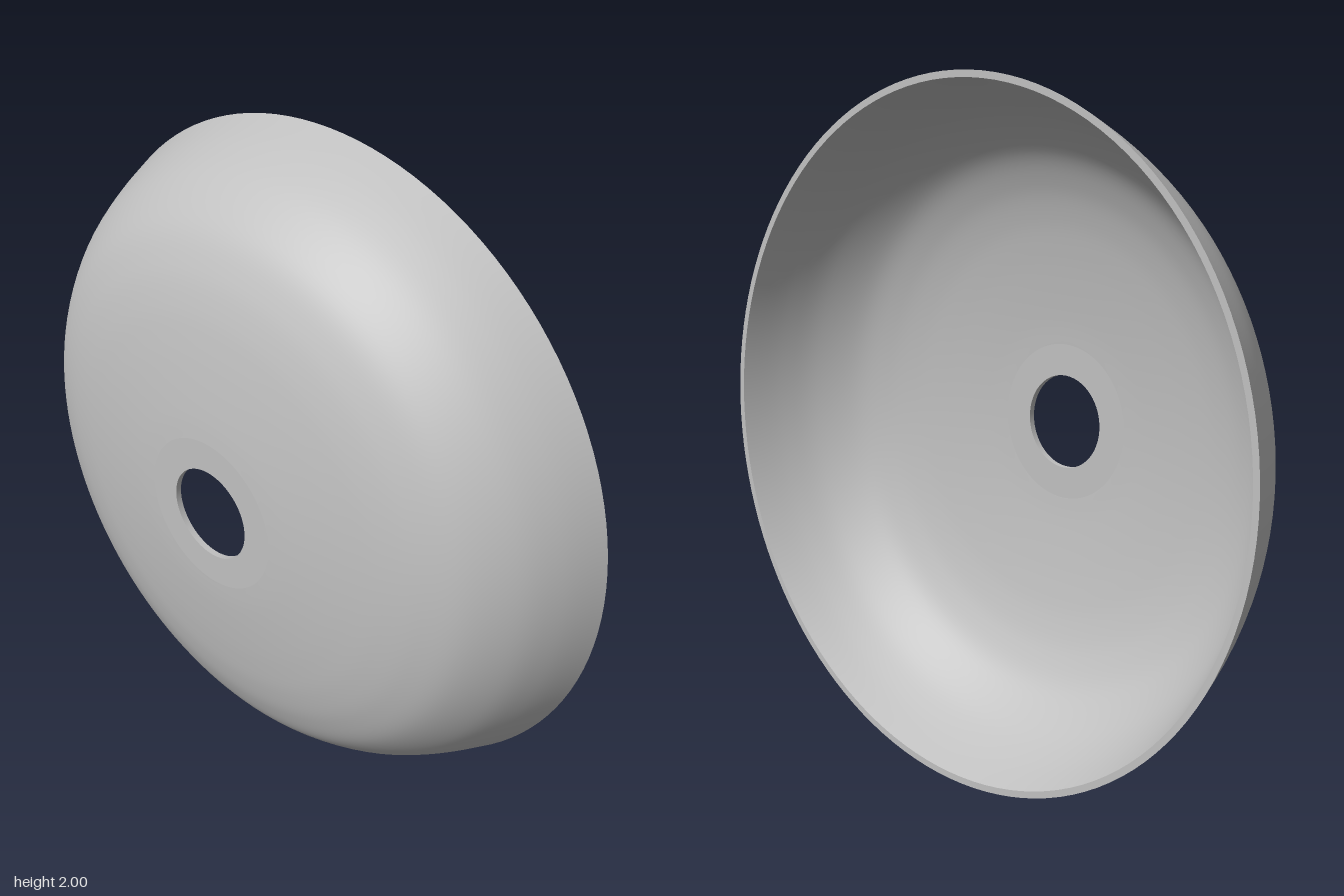
import * as THREE from 'three';

export function createModel() {
  const group = new THREE.Group();
  const grey = new THREE.MeshStandardMaterial({ color: 0xc0c0c0 });
  grey.name = 'plain grey';

  const HOLE = 0.138, FLAT = 0.23, DEPTH = 0.225, WALL = 0.018;
  const V = (r, z) => new THREE.Vector2(r, z);

  // Outer profile (radius, z) from the back rim to the flat centre
  const curve = new THREE.SplineCurve([
    V(1, -DEPTH), V(0.95, -0.105), V(0.89, -0.002), V(0.8, 0.092), V(0.7, 0.145),
    V(0.6, 0.176), V(0.5, 0.195), V(0.4, 0.209), V(0.3, 0.22), V(FLAT, DEPTH),
  ]);
  const outer = curve.getPoints(54);

  // Inner profile: the outer one moved inwards by the wall thickness
  const inner = outer.map((p, i) => {
    const t = curve.getTangent(i / 54);
    return V(p.x - t.y * WALL, p.y + t.x * WALL);
  });
  inner[0].set(1 - WALL * 1.08, -DEPTH);
  inner[54].set(FLAT, DEPTH - WALL);
  inner.reverse();

  // Each surface is turned separately so that the edges stay sharp
  const turn = (name, points) => {
    const mesh = new THREE.Mesh(new THREE.LatheGeometry(points, 128), grey);
    mesh.name = name;
    mesh.rotation.x = Math.PI / 2;
    mesh.position.y = 1;
    group.add(mesh);
  };

  turn('outerShell', outer);
  turn('frontFlat', [V(FLAT, DEPTH), V(HOLE, DEPTH)]);
  turn('holeWall', [V(HOLE, DEPTH), V(HOLE, DEPTH - WALL)]);
  turn('backFlat', [V(HOLE, DEPTH - WALL), V(FLAT, DEPTH - WALL)]);
  turn('innerShell', inner);
  turn('backRim', [inner[54], outer[0]]);

  return group;
}
